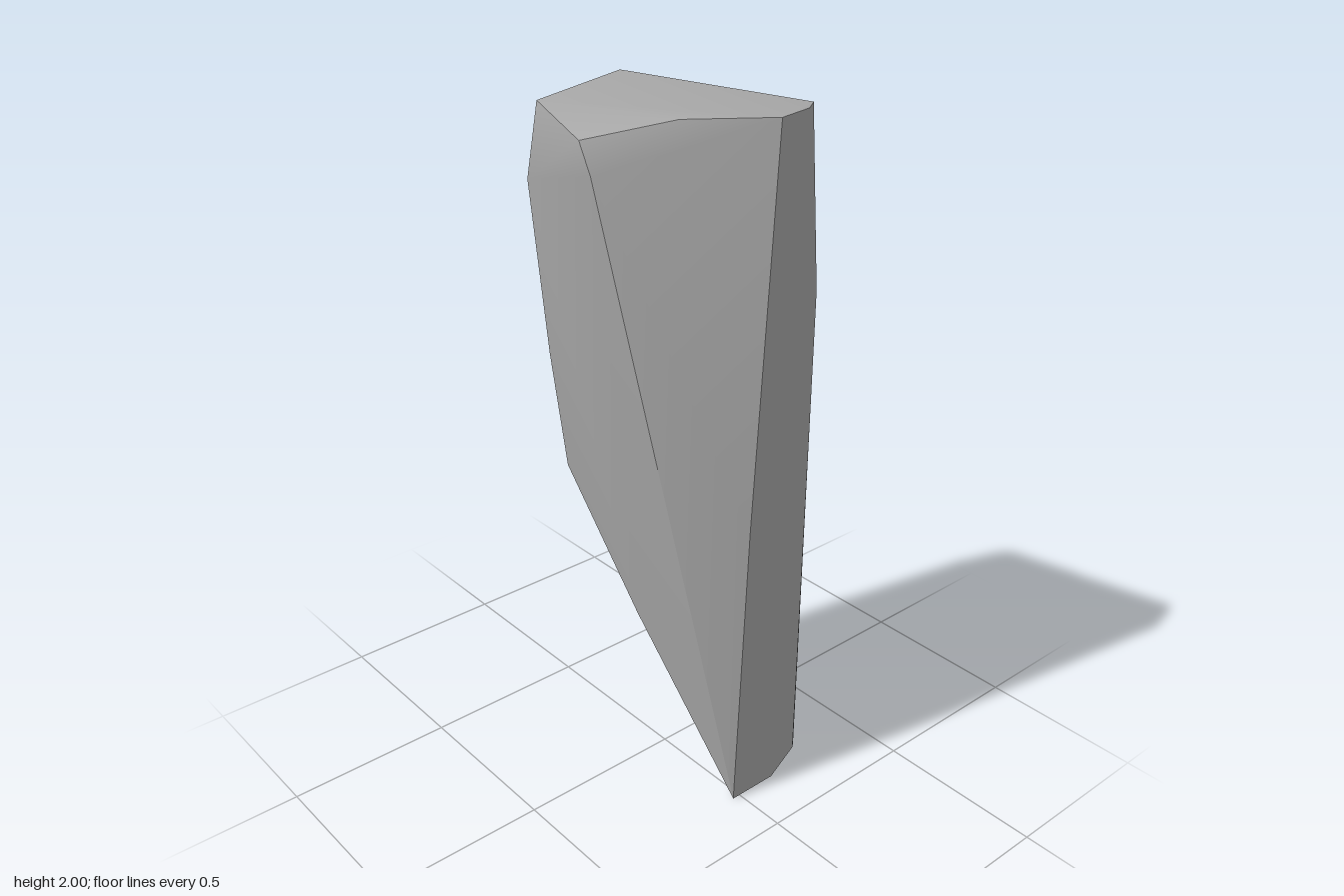
import * as THREE from 'three';
import { ConvexGeometry } from 'three/addons/geometries/ConvexGeometry.js';
import { toCreasedNormals } from 'three/addons/utils/BufferGeometryUtils.js';

export function createModel() {
  const group = new THREE.Group();
  group.name = 'standingStone';
  const stone = new THREE.MeshStandardMaterial({ color: 0xa6a6a6 });
  stone.name = 'grey stone';

  // Corners of the chiselled stone, ring by ring
  const corners = [
    // narrow foot
    [0.34, 0, 0.025], [0.34, 0, -0.13], [0.285, 0, -0.275], [0.27, 0, -0.293], [0.11, 0, -0.25],
    // slanted underside
    [-0.33, 0.61, -0.135], [-0.338, 0.62, -0.115], [0.04, 0.55, 0.137], [-0.2, 0.95, 0.19],
    // waist
    [-0.35, 1.02, -0.11], [0.35, 0.9, 0], [0.35, 1.0, -0.13], [0.29, 1.5, -0.272],
    [0.27, 1.4, -0.288], [0.15, 1.45, -0.268], [-0.335, 1.4, -0.133], [-0.207, 1.3, 0.232],
    // shoulder
    [-0.345, 1.75, -0.095], [-0.185, 1.8, 0.295], [0.04, 1.85, 0.268],
    // sloping crown
    [-0.32, 1.975, -0.085], [-0.29, 2, -0.09], [0.295, 2, -0.222], [0.318, 1.995, -0.185],
    [0.342, 1.995, -0.07], [0.17, 1.985, 0.1], [0, 1.93, 0.27], [-0.205, 1.985, 0.243],
  ].map((p) => new THREE.Vector3(...p));

  // Soft shading over shallow bends, crisp main edges
  const geometry = toCreasedNormals(new ConvexGeometry(corners), Math.PI / 6);
  const mesh = new THREE.Mesh(geometry, stone);
  mesh.name = 'stone';
  group.add(mesh);
  return group;
}
